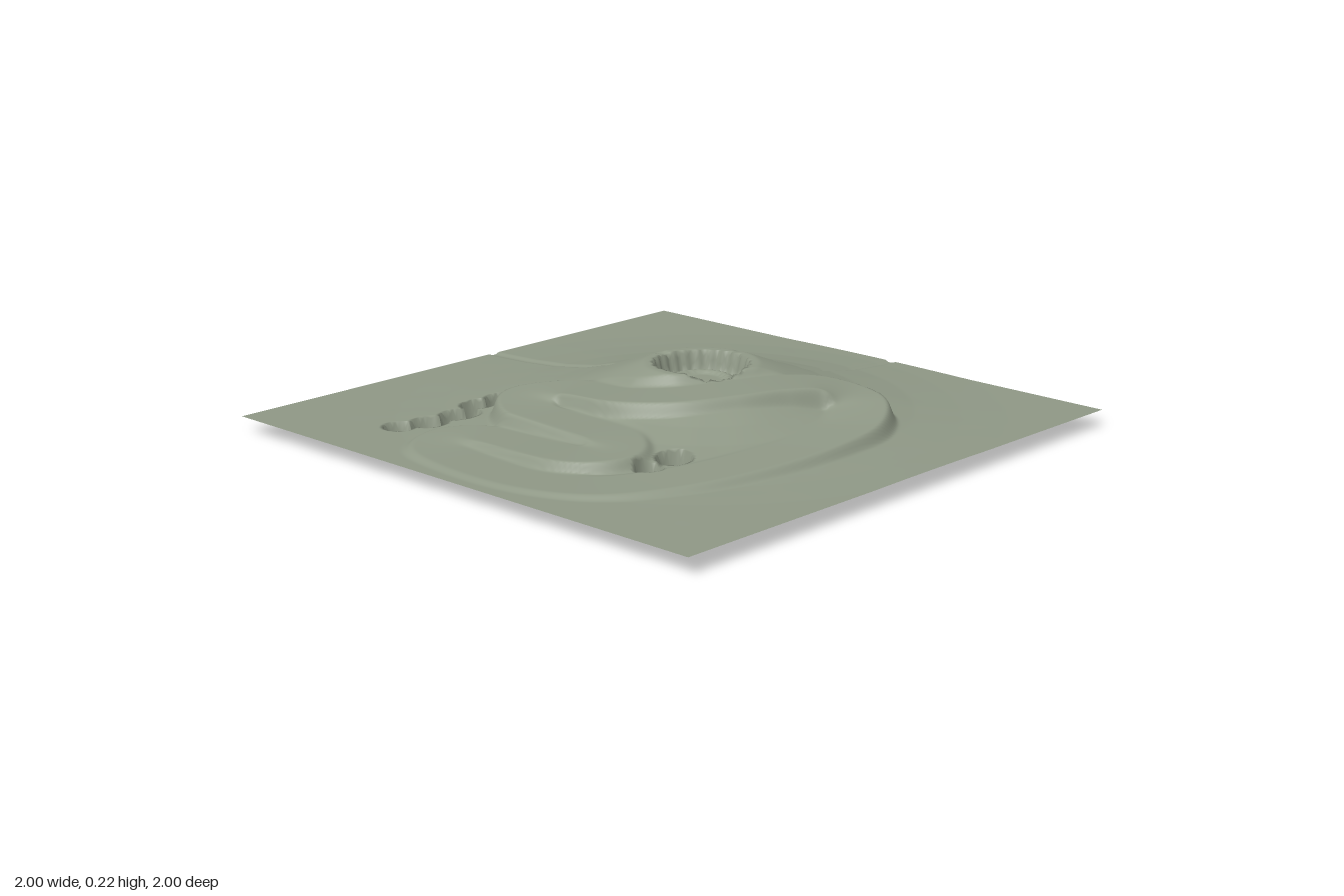
import * as THREE from 'three';

const { smoothstep, lerp } = THREE.MathUtils;
const SEGMENTS = 260;
const CENTER = [0.04, -0.09];

// Hill height by distance from the crater centre
const HILL = [[0, 0.22], [0.19, 0.22], [0.3, 0.178], [0.44, 0.126], [0.55, 0.098],
  [0.7, 0.074], [0.85, 0.062], [1.0, 0.056], [2, 0.055]];

// Crater wall, ring-shaped floor and low middle, by radius
const CRATER = [[0, 0.158], [0.07, 0.158], [0.085, 0.17], [0.1, 0.168], [0.12, 0.15], [0.145, 0.15], [0.157, 0.22]];

// Centre line of the winding terrace, as one closed loop (x, height, z)
const TERRACE = new THREE.CatmullRomCurve3([
  [0.52, 0.15, -0.31], [0.62, 0.122, -0.18], [0.645, 0.107, 0.02], [0.62, 0.094, 0.28],
  [0.53, 0.08, 0.56], [0.4, 0.071, 0.75], [0.2, 0.066, 0.833], [-0.1, 0.066, 0.838],
  [-0.25, 0.071, 0.8], [-0.285, 0.079, 0.72], [-0.2, 0.086, 0.655], [0, 0.092, 0.65],
  [0.18, 0.099, 0.645], [0.265, 0.107, 0.55], [0.18, 0.115, 0.465], [0, 0.122, 0.46],
  [-0.2, 0.13, 0.46], [-0.3, 0.143, 0.37], [-0.22, 0.157, 0.27], [0, 0.172, 0.255],
  [0.16, 0.185, 0.17], [0.26, 0.194, 0.02], [0.33, 0.195, -0.14], [0.41, 0.183, -0.27],
].map((p) => new THREE.Vector3(...p)), true).getSpacedPoints(420);

// Round pits: x, z, radius
const PITS = [[-0.5, 0.305, 0.055], [-0.51, 0.4, 0.058], [-0.475, 0.515, 0.065], [-0.495, 0.63, 0.062],
  [-0.535, 0.72, 0.052], [0.405, 0.425, 0.053], [0.405, 0.535, 0.042]];

// Shallow gullies running to the back and right edges
const GULLIES = [
  [[0.11, -1.1], [0.11, -0.42], [0.03, -0.29]],
  [[-1.1, -0.115], [-0.42, -0.115], [-0.36, -0.09], [-0.12, -0.09]],
];

function profile(table, t) {
  for (let i = 1; i < table.length; i++) {
    const [a, ya] = table[i - 1], [b, yb] = table[i];
    if (t <= b) return lerp(ya, yb, (t - a) / (b - a));
  }
  return table[table.length - 1][1];
}

function segmentDistance(x, z, [ax, az], [bx, bz]) {
  const dx = bx - ax, dz = bz - az;
  const t = THREE.MathUtils.clamp(((x - ax) * dx + (z - az) * dz) / (dx * dx + dz * dz), 0, 1);
  return Math.hypot(x - ax - t * dx, z - az - t * dz);
}

function height(x, z) {
  const r = Math.hypot(x - CENTER[0], z - CENTER[1]);
  let y = profile(HILL, r);
  // gentle unevenness, fading out at the border
  const fade = 1 - Math.max(Math.abs(x), Math.abs(z));
  y += 0.0015 * fade * Math.sin(x * 17 + Math.sin(z * 11)) * Math.sin(z * 19 + 2 * Math.sin(x * 8));

  // gullies
  for (const line of GULLIES) {
    let d = 1;
    for (let i = 1; i < line.length; i++) d = Math.min(d, segmentDistance(x, z, line[i - 1], line[i]));
    y -= 0.006 * (1 - smoothstep(d, 0.008, 0.024));
  }

  // terrace cut into the hill; weighted so neighbouring lanes meet in a step
  let nearest = 1, sum = 0, total = 0;
  for (const p of TERRACE) {
    const d2 = (p.x - x) ** 2 + (p.z - z) ** 2;
    if (d2 > 0.02) continue;
    const w = Math.exp(-d2 / 0.0012);
    sum += w * p.y;
    total += w;
    nearest = Math.min(nearest, Math.sqrt(d2));
  }
  if (total > 0) y = lerp(sum / total, y, smoothstep(nearest, 0.085, 0.118));

  // crater with a slightly ragged wall
  const angle = Math.atan2(z - CENTER[1], x - CENTER[0]);
  const ragged = r + 0.003 * Math.sin(angle * 23);
  if (ragged < 0.157) y = Math.min(y, profile(CRATER, ragged));

  // pits
  for (const [px, pz, pr] of PITS) {
    const d = Math.hypot(x - px, z - pz);
    y = Math.min(y, lerp(0, y, smoothstep(d, pr - 0.007, pr + 0.003)));
  }
  return y;
}

export function createModel() {
  const group = new THREE.Group();
  group.name = 'landscape';

  const geometry = new THREE.PlaneGeometry(2, 2, SEGMENTS, SEGMENTS).rotateX(-Math.PI / 2);
  const pos = geometry.attributes.position;
  for (let i = 0; i < pos.count; i++) pos.setY(i, height(pos.getX(i), pos.getZ(i)));
  geometry.computeVertexNormals();

  const terrain = new THREE.Mesh(geometry, new THREE.MeshStandardMaterial({ color: 0x8f9886, side: THREE.DoubleSide }));
  terrain.name = 'terrain';
  group.add(terrain);
  return group;
}
